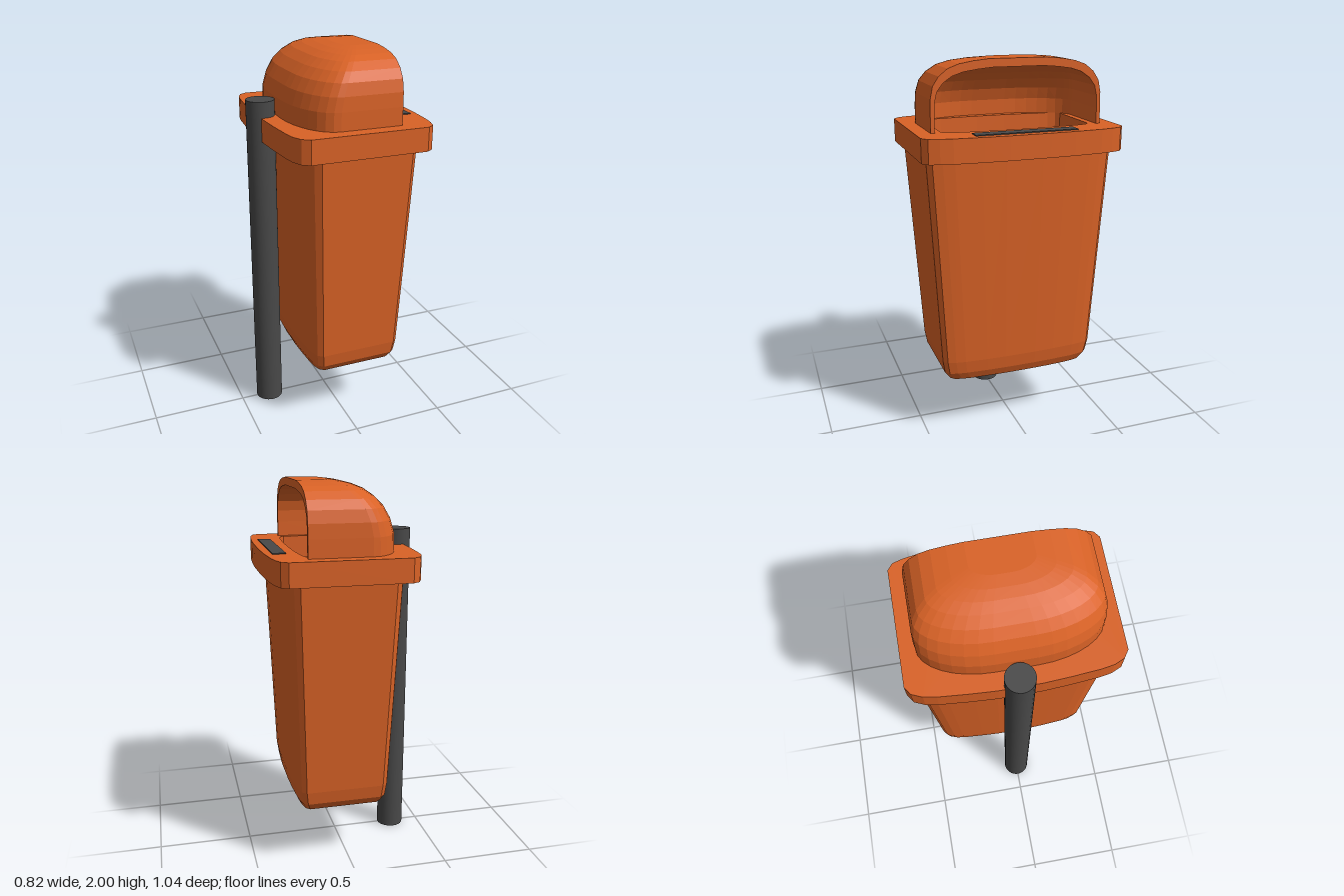
import * as THREE from 'three';

const orange = new THREE.MeshStandardMaterial({ color: 0xd96226, flatShading: true, side: THREE.DoubleSide });
const dark = new THREE.MeshStandardMaterial({ color: 0x484848 });

// Rounded rectangle with gently bowed long sides, as [x, z] points
function outline(x0, x1, h) {
  const half = [[0, 0.2], [0.01, 0.45], [0.026, 0.73], [0.04, 0.85], [0.07, 0.95], [0.12, 1],
    [0.9, 1], [0.945, 0.95], [0.966, 0.85], [0.98, 0.73], [0.994, 0.45], [1, 0.2]];
  const pts = half.map(([u, v]) => [x0 + u * (x1 - x0), v * h]);
  return pts.concat(pts.map(([x, z]) => [x, -z]).reverse());
}

// Skin stacked rings of [x, y, z] points
function loft(rings, closed) {
  const n = rings[0].length, index = [];
  for (let i = 0; i < rings.length - 1; i++) {
    for (let j = 0; j < (closed ? n : n - 1); j++) {
      const k = (j + 1) % n, a = i * n + j, b = i * n + k;
      index.push(a, b, b + n, a, b + n, a + n);
    }
  }
  const g = new THREE.BufferGeometry();
  g.setAttribute('position', new THREE.Float32BufferAttribute(rings.flat(2), 3));
  g.setIndex(index);
  g.computeVertexNormals();
  return g;
}

// Hood levels: height, back x, half width
const FRONT = 0.23;
const hoodLevels = [[1.66, -0.265, 0.445], [1.75, -0.262, 0.445], [1.82, -0.24, 0.443], [1.88, -0.205, 0.43],
  [1.925, -0.16, 0.4], [1.96, -0.11, 0.355], [1.98, -0.06, 0.3], [1.992, -0.01, 0.23], [2, 0.05, 0.15]];
const innerLevels = hoodLevels.map(([y, b, h]) => [1.66 + (y - 1.66) * 0.88, b + 0.02, h - 0.02]);

// U-shaped skin of the hood, open to the front and closed on top
function hoodSkin(levels) {
  const rings = levels.map(([y, back, h]) => {
    const rx = (FRONT - back) * 0.36, rz = h * 0.78, side = [[FRONT, y, h]];
    for (let i = 0; i <= 8; i++) {
      const a = (i / 8) * Math.PI / 2;
      side.push([back + rx * (1 - Math.cos(a)), y, h - rz * (1 - Math.sin(Math.PI / 2 - a))]);
    }
    // order the corner from the side wall round to the back wall
    for (let i = 0; i <= 8; i++) {
      const a = (i / 8) * Math.PI / 2;
      side[i + 1] = [back + rx * (1 - Math.sin(a)), y, h - rz * (1 - Math.cos(a))];
    }
    return side.map(([x, yy, z]) => [x, yy, -z]).concat(side.reverse());
  });
  const top = levels[levels.length - 1][0];
  rings.push(rings[0].map(() => [FRONT, top, 0]));
  return loft(rings, false);
}

// Arch of the hood mouth, as points in the z-y plane
function arch(levels) {
  const right = levels.map(([y, , h]) => new THREE.Vector2(h, y));
  return right.concat(right.map((p) => new THREE.Vector2(-p.x, p.y)).reverse());
}

export function createModel() {
  const group = new THREE.Group();
  const add = (name, geometry, material) => {
    const m = new THREE.Mesh(geometry, material);
    m.name = name;
    group.add(m);
    return m;
  };

  // Tapered bin with rounded bottom edge
  const levels = [[0.32, -0.16, 0.235, 0.32], [0.335, -0.197, 0.265, 0.375], [0.38, -0.217, 0.285, 0.408],
    [0.45, -0.226, 0.295, 0.42], [1.54, -0.27, 0.335, 0.485], [1.6, -0.272, 0.337, 0.488]];
  const rings = levels.map(([y, x0, x1, h]) => outline(x0, x1, h).map(([x, z]) => [x, y, z]));
  rings.unshift(rings[0].map(() => [0.04, 0.32, 0]));
  add('binBody', loft(rings, true), orange);

  // Rim slab with the opening into the bin
  const vec = (pts) => pts.map(([x, z]) => new THREE.Vector2(x, z));
  const rimShape = new THREE.Shape(vec(outline(-0.355, 0.41, 0.52)));
  rimShape.holes.push(new THREE.Path(vec(outline(-0.2, 0.25, 0.39))));
  const rim = new THREE.ExtrudeGeometry(rimShape, { depth: 0.12, bevelEnabled: false });
  rim.rotateX(-Math.PI / 2).translate(0, 1.54, 0);
  add('rim', rim, orange);

  // Hood: outer skin, inner skin and the edge of its mouth
  add('hoodOuter', hoodSkin(hoodLevels), orange);
  add('hoodInner', hoodSkin(innerLevels), orange);
  const mouth = new THREE.Shape(arch(hoodLevels).concat(arch(innerLevels).reverse()));
  add('hoodMouthEdge', new THREE.ShapeGeometry(mouth).rotateY(Math.PI / 2).translate(FRONT, 0, 0), orange);

  // Dark strip on the front of the rim
  add('rimStrip', new THREE.BoxGeometry(0.067, 0.012, 0.525), dark).position.set(0.335, 1.659, 0);

  // Support post
  add('post', new THREE.CylinderGeometry(0.073, 0.073, 1.74, 32), dark).position.set(-0.338, 0.87, 0);

  return group;
}
